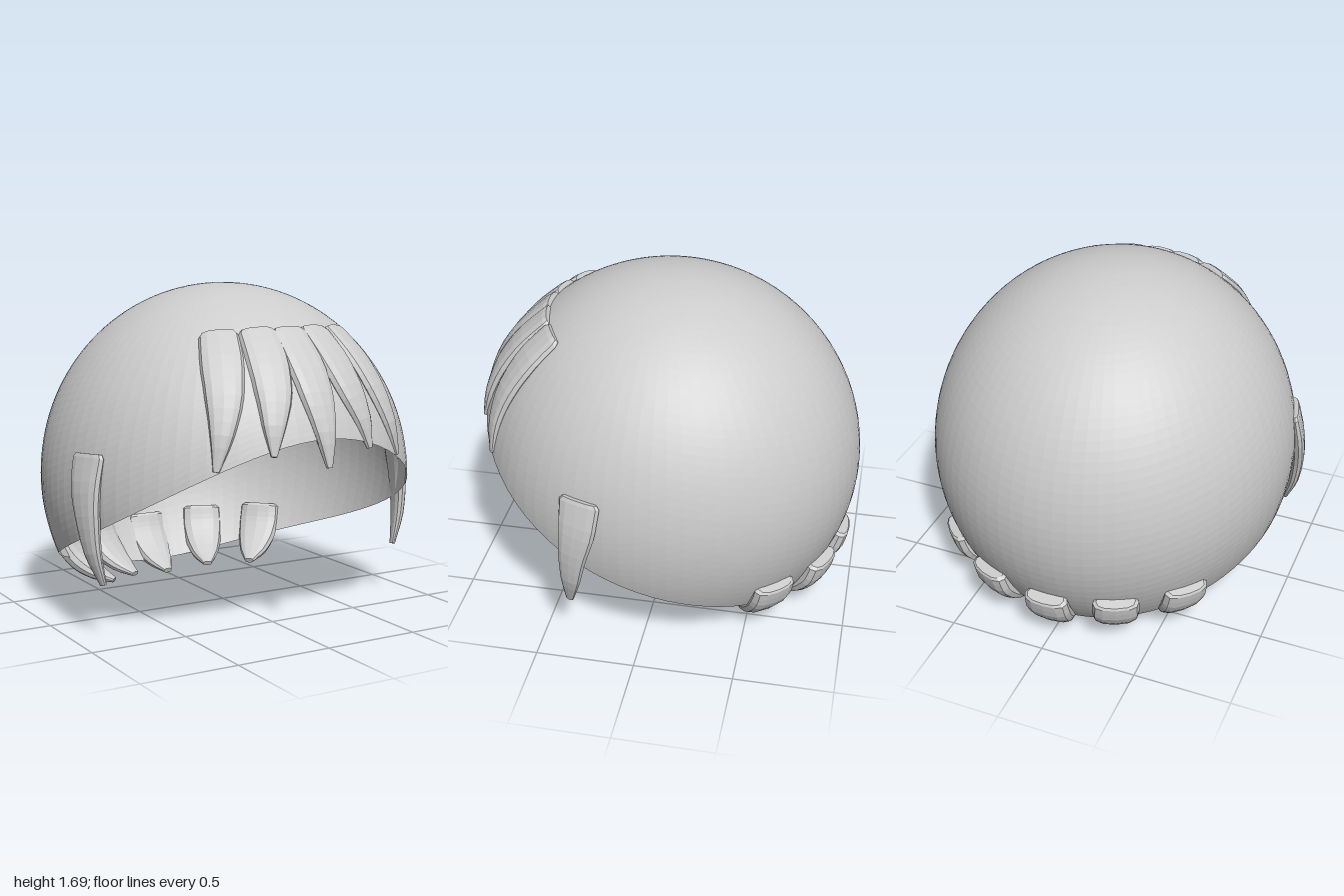
import * as THREE from 'three';

const CENTER = 0.7, RX = 0.95; // head ellipsoid: radii 0.95, 1, 1 around (0, 0.7, 0)

const hair = new THREE.MeshStandardMaterial({ color: 0xcccccc });
hair.name = 'light grey hair';
hair.side = THREE.DoubleSide;

// Mesh with flat facets from indexed points
function facetMesh(name, pos, idx) {
  let g = new THREE.BufferGeometry();
  g.setAttribute('position', new THREE.Float32BufferAttribute(pos, 3));
  g.setIndex(idx);
  g = g.toNonIndexed();
  g.computeVertexNormals();
  const m = new THREE.Mesh(g, hair);
  m.name = name;
  return m;
}

// Height of the cap's rim: high over the face, low at the nape
const rimY = (a) =>
  0.465 + 0.445 * Math.cos(a) + 0.065 * Math.cos(2 * a) + 0.025 * Math.cos(3 * a);

function makeCap() {
  const U = 80, V = 44, pos = [], idx = [];
  for (let j = 0; j <= V; j++) {
    for (let i = 0; i <= U; i++) {
      const a = (i / U) * Math.PI * 2;
      const phi = (j / V) * Math.acos(rimY(a) - CENTER);
      pos.push(RX * Math.sin(phi) * Math.sin(a), CENTER + Math.cos(phi), Math.sin(phi) * Math.cos(a));
      if (i < U && j < V) {
        const p = j * (U + 1) + i, q = p + U + 1;
        if (j > 0) idx.push(p, q, p + 1);
        idx.push(p + 1, q, q + 1);
      }
    }
  }
  return facetMesh('hairCap', pos, idx);
}

// Tapered lock lying on the head: path points, half widths and half thicknesses
function makeLock(name, points, widths, thicks) {
  const N = 12, S = 12, pos = [], idx = [];
  const curve = new THREE.CatmullRomCurve3(points);
  const sample = (list, t) => {
    const f = t * (list.length - 1), k = Math.min(Math.floor(f), list.length - 2);
    return THREE.MathUtils.lerp(list[k], list[k + 1], f - k);
  };
  const squash = (v) => Math.sign(v) * Math.pow(Math.abs(v), 0.8);
  const rows = [0, ...Array.from({ length: S }, (_, k) => 0.03 + 0.97 * (k / (S - 1)))];
  rows.forEach((t, r) => {
    const p = curve.getPoint(t), tan = curve.getTangent(t);
    const n = new THREE.Vector3(p.x / (RX * RX), p.y - CENTER, p.z);
    n.addScaledVector(tan, -n.dot(tan)).normalize();
    const side = n.clone().cross(tan);
    const bevel = r === 0 ? 0.85 : 1;
    const w = sample(widths, t) * bevel, h = sample(thicks, t) * bevel;
    for (let i = 0; i < N; i++) {
      const a = (i / N) * Math.PI * 2;
      const v = p.clone()
        .addScaledVector(side, w * squash(Math.cos(a)))
        .addScaledVector(n, h * squash(Math.sin(a)));
      pos.push(v.x, v.y, v.z);
      if (r > 0) {
        const b = r * N + i, b1 = r * N + ((i + 1) % N);
        idx.push(b - N, b1 - N, b1, b - N, b1, b);
      }
    }
  });
  // end caps
  const last = (rows.length - 1) * N;
  for (let i = 1; i < N - 1; i++) {
    idx.push(0, i + 1, i);
    idx.push(last, last + i, last + i + 1);
  }
  return facetMesh(name, pos, idx);
}

const v3 = (x, y, z) => new THREE.Vector3(x, y, z);
// Point on the front of the head
const onFront = (x, y) =>
  v3(x, y, Math.sqrt(Math.max(0, 1 - (x / RX) ** 2 - (y - CENTER) ** 2)));

export function createModel() {
  const model = new THREE.Group();
  model.name = 'hair';
  model.add(makeCap());

  // Fringe: a middle lock and two mirrored pairs
  const fringe = new THREE.Group();
  fringe.name = 'fringe';
  const fringePaths = [
    ['Middle', [[0, 1.49], [0, 1.33], [0, 1.18], [0, 1.02], [0, 0.87]]],
    ['Inner', [[0.16, 1.49], [0.185, 1.35], [0.215, 1.2], [0.25, 1.06], [0.27, 0.935]]],
    ['Outer', [[0.33, 1.48], [0.385, 1.34], [0.43, 1.18], [0.475, 1.02], [0.515, 0.87]]],
  ];
  for (const [label, path] of fringePaths) {
    for (const s of label === 'Middle' ? [1] : [1, -1]) {
      const tag = label === 'Middle' ? '' : s > 0 ? 'Left' : 'Right';
      fringe.add(makeLock('fringe' + label + tag,
        path.map(([x, y]) => onFront(s * x, y)),
        [0.095, 0.105, 0.09, 0.055, 0.015],
        [0.03, 0.035, 0.04, 0.033, 0.012]));
    }
  }
  model.add(fringe);

  // Long lock in front of each ear
  for (const s of [1, -1]) {
    model.add(makeLock(s > 0 ? 'sideLockLeft' : 'sideLockRight',
      [v3(s * 0.895, 0.91, 0.27), v3(s * 0.922, 0.75, 0.285), v3(s * 0.925, 0.6, 0.31),
        v3(s * 0.908, 0.43, 0.33), v3(s * 0.866, 0.28, 0.35)],
      [0.11, 0.1, 0.077, 0.052, 0.02],
      [0.025, 0.034, 0.035, 0.028, 0.012]));
  }

  // Nape: five short locks curling under the back of the head
  const nape = new THREE.Group();
  nape.name = 'napeLocks';
  [-46, -23, 0, 23, 46].forEach((deg, k) => {
    const a = Math.PI + THREE.MathUtils.degToRad(deg);
    const lift = Math.abs(deg) / 1000;
    const profile = [[0.935, 0.3], [0.9, 0.2], [0.82, 0.11], [0.73, 0.055], [0.635, 0.02]];
    nape.add(makeLock('napeLock' + (k + 1),
      profile.map(([r, y]) => v3(RX * r * Math.sin(a), y + lift, r * Math.cos(a))),
      [0.115, 0.12, 0.105, 0.075, 0.025],
      [0.05, 0.055, 0.05, 0.035, 0.014]));
  });
  model.add(nape);
  return model;
}
